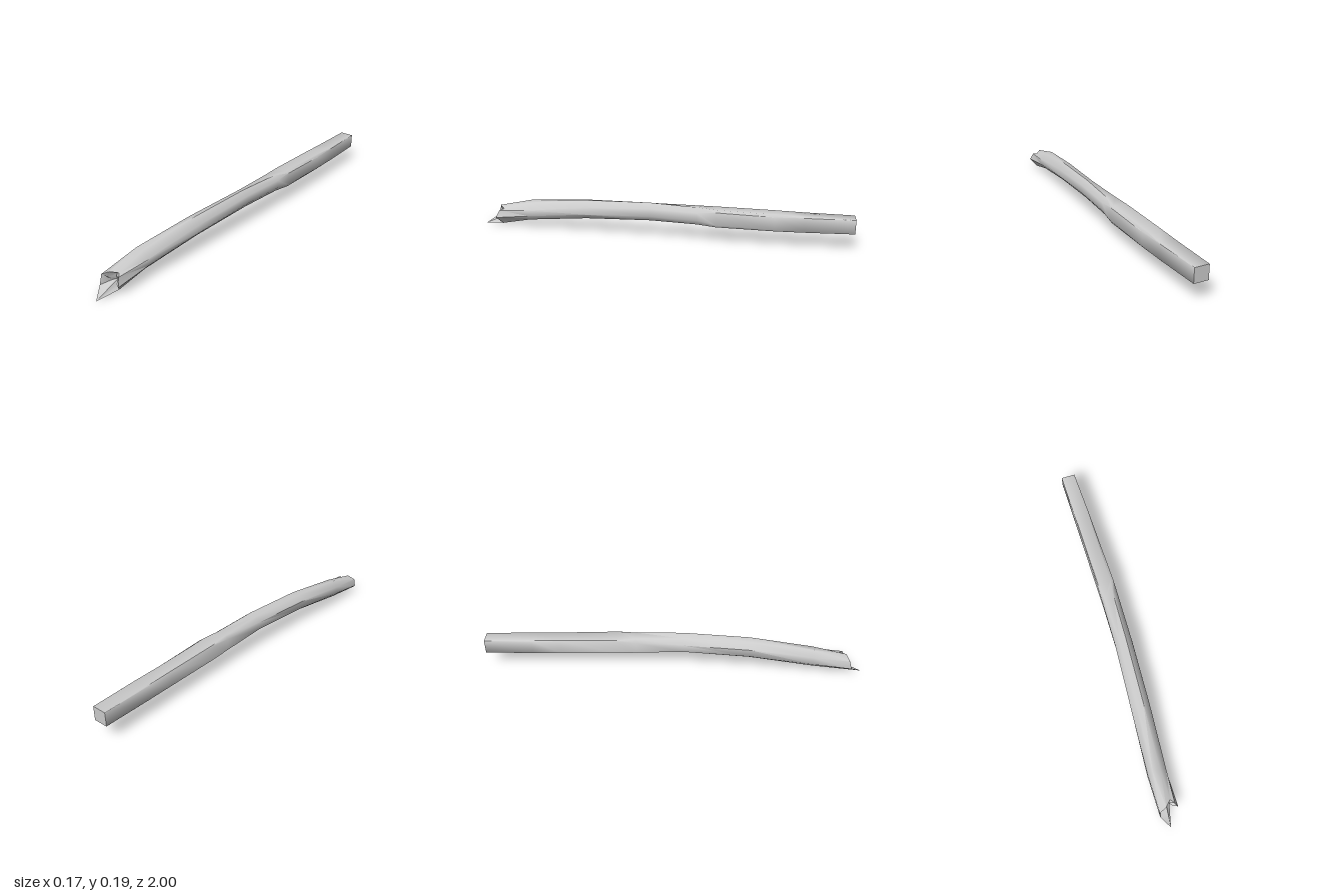
import * as THREE from 'three';
import { toCreasedNormals } from 'three/addons/utils/BufferGeometryUtils.js';

// Cross-sections, back to front: z, then x,y pairs clockwise from the top face's right edge.
// Each pair of points is one bevelled corner: top right, bottom right, bottom left, top left.
const SECTIONS = [
  [-1.0, 0.074, 0.17, 0.075, 0.169, 0.075, 0.096, 0.074, 0.095, 0.001, 0.095, 0, 0.096, 0, 0.169, 0.001, 0.17],
  [-0.75, 0.073, 0.173, 0.079, 0.168, 0.08, 0.094, 0.076, 0.09, 0, 0.091, -0.003, 0.094, -0.003, 0.17, -0.001, 0.172],
  [-0.6, 0.068, 0.176, 0.08, 0.165, 0.083, 0.096, 0.075, 0.088, 0, 0.09, -0.005, 0.094, -0.006, 0.171, -0.003, 0.175],
  [-0.3, 0.065, 0.183, 0.08, 0.173, 0.083, 0.105, 0.075, 0.092, -0.003, 0.09, -0.01, 0.095, -0.012, 0.171, -0.007, 0.178],
  [-0.2, 0.05, 0.187, 0.077, 0.165, 0.08, 0.125, 0.06, 0.097, 0.01, 0.092, -0.012, 0.1, -0.015, 0.165, 0, 0.181],
  [0.05, 0.035, 0.195, 0.065, 0.17, 0.07, 0.13, 0.045, 0.1, 0, 0.096, -0.022, 0.112, -0.025, 0.155, 0, 0.182],
  [0.4, 0.01, 0.182, 0.043, 0.15, 0.047, 0.112, 0.02, 0.083, -0.025, 0.08, -0.05, 0.1, -0.055, 0.145, -0.025, 0.174],
  [0.73, -0.015, 0.14, 0.017, 0.107, 0.018, 0.075, -0.01, 0.046, -0.055, 0.044, -0.08, 0.07, -0.08, 0.112, -0.055, 0.146],
];

// Jagged rim of the broken end, in the same order, as x, y, z
const RIM = [
  [-0.015, 0.1, 0.88], [0.003, 0.095, 0.9], [0.017, 0.056, 0.92], [-0.015, 0.015, 0.89],
  [-0.045, 0, 1], [-0.083, 0.04, 0.94], [-0.083, 0.09, 0.925], [-0.045, 0.11, 0.91],
];
const N = RIM.length;
const CORE = [-0.035, 0.058];

export function createModel() {
  const rings = SECTIONS.map(([z, ...p]) => RIM.map((_, k) => [p[2 * k], p[2 * k + 1], z]));
  rings.push(RIM);

  // Splintered inner ring, alternately raised and sunk
  rings.push(RIM.map(([x, y, z], k) => [
    THREE.MathUtils.lerp(x, CORE[0], 0.5),
    THREE.MathUtils.lerp(y, CORE[1], 0.5),
    THREE.MathUtils.lerp(z, 0.88, 0.6) + (k % 2 ? -0.02 : 0.01),
  ]));

  const points = rings.flat();
  const index = [];
  for (let r = 0; r < rings.length - 1; r++) {
    for (let k = 0; k < N; k++) {
      const a = r * N + k, b = r * N + (k + 1) % N;
      index.push(a, a + N, b, b, a + N, b + N);
    }
  }

  // Sawn back end and the bottom of the break
  const back = points.push([0.0375, 0.1325, -1]) - 1;
  const core = points.push([...CORE, 0.87]) - 1;
  const last = (rings.length - 1) * N;
  for (let k = 0; k < N; k++) {
    const next = (k + 1) % N;
    index.push(back, k, next, core, last + next, last + k);
  }

  const geometry = new THREE.BufferGeometry();
  geometry.setAttribute('position', new THREE.Float32BufferAttribute(points.flat(), 3));
  geometry.setIndex(index);

  const beam = new THREE.Mesh(
    toCreasedNormals(geometry, 0.85),
    new THREE.MeshStandardMaterial({ color: 0xcccccc }),
  );
  beam.name = 'brokenBeam';

  const model = new THREE.Group();
  model.name = 'bentBeam';
  model.add(beam);
  return model;
}
